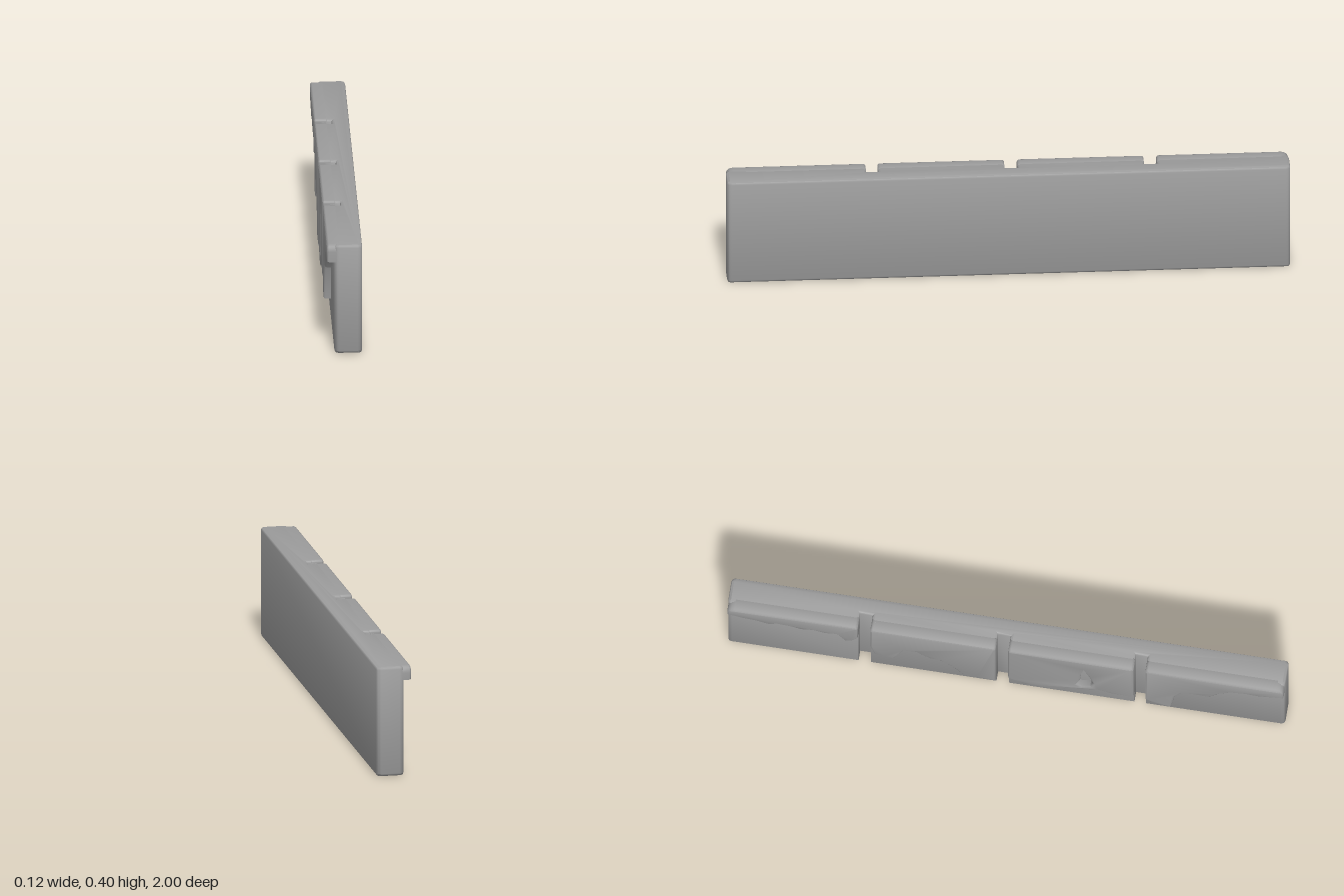
import * as THREE from 'three';
import { toCreasedNormals } from 'three/addons/utils/BufferGeometryUtils.js';

const material = new THREE.MeshStandardMaterial({ color: 0x9c9c9c });
const HEIGHT = 0.4, OUTER = 0.0625, FACE = -0.036, GROOVE_FLOOR = 0;
// z range of each groove
const grooves = [[-0.53, -0.485], [-0.035, 0.01], [0.46, 0.502]];

function extrude(shape, depth, bevel) {
  return new THREE.ExtrudeGeometry(shape, {
    depth: depth - 2 * bevel, bevelThickness: bevel, bevelSize: bevel,
    bevelOffset: -bevel, bevelSegments: 2, curveSegments: 4,
  }).translate(0, 0, bevel);
}

// Soft shading over the rounded edges
function addMesh(group, name, geometry) {
  const mesh = new THREE.Mesh(toCreasedNormals(geometry, 0.85), material);
  mesh.name = name;
  group.add(mesh);
}

// Plan outline of the wall with grooves, drawn in x and -z
function wallShape() {
  const r = 0.016, s = new THREE.Shape();
  s.moveTo(FACE + r, -1);
  s.lineTo(OUTER - r, -1);
  s.quadraticCurveTo(OUTER, -1, OUTER, -1 + r);
  s.lineTo(OUTER, 1 - r);
  s.quadraticCurveTo(OUTER, 1, OUTER - r, 1);
  s.lineTo(FACE + r, 1);
  s.quadraticCurveTo(FACE, 1, FACE, 1 - r);
  for (const [a, b] of grooves) {
    s.lineTo(FACE, -a);
    s.lineTo(GROOVE_FLOOR, -a);
    s.lineTo(GROOVE_FLOOR, -b);
    s.lineTo(FACE, -b);
  }
  s.lineTo(FACE, -1 + r);
  s.quadraticCurveTo(FACE, -1, FACE + r, -1);
  return s;
}

// Broken lower edge of each plaster layer as [z, y], from back to front
const brokenEdges = [
  [[-0.998, 0.35], [-0.94, 0.335], [-0.9, 0.33], [-0.845, 0.31], [-0.82, 0.328], [-0.77, 0.322], [-0.733, 0.308],
    [-0.69, 0.318], [-0.645, 0.305], [-0.604, 0.314], [-0.575, 0.26], [-0.55, 0.27], [-0.53, 0.3]],
  [[-0.485, 0.24], [-0.47, 0.168], [-0.43, 0.16], [-0.4, 0.152], [-0.38, 0.2], [-0.364, 0.246], [-0.323, 0.252],
    [-0.27, 0.206], [-0.235, 0.205], [-0.19, 0.155], [-0.165, 0.115], [-0.14, 0.085], [-0.1, 0.09], [-0.035, 0.08]],
  [[0.01, 0.125], [0.07, 0.09], [0.11, 0.095], [0.147, 0.08], [0.2, 0.08], [0.225, 0.12], [0.29, 0.128],
    [0.33, 0.142], [0.38, 0.126], [0.46, 0.12]],
  [[0.502, 0.12], [0.53, 0.095], [0.595, 0.08], [0.608, 0.19], [0.633, 0.238], [0.68, 0.243], [0.733, 0.238],
    [0.765, 0.285], [0.81, 0.318], [0.86, 0.326], [0.91, 0.322], [0.998, 0.338]],
];

// Teardrop chip through the third layer
const chip = [[0.282, 0.32], [0.3, 0.26], [0.315, 0.2], [0.305, 0.165], [0.275, 0.15], [0.255, 0.168], [0.268, 0.21], [0.272, 0.27]];

// Layer outline; corners at the ends of the wall are worn rounder
function plasterShape(edge) {
  const back = edge[0][0], front = edge[edge.length - 1][0];
  const radius = (z) => (Math.abs(z) > 0.9 ? 0.025 : 0.01);
  const s = new THREE.Shape();
  edge.forEach(([z, y], i) => (i ? s.lineTo(z, y) : s.moveTo(z, y)));
  s.lineTo(front, HEIGHT - radius(front));
  s.quadraticCurveTo(front, HEIGHT, front - radius(front), HEIGHT);
  s.lineTo(back + radius(back), HEIGHT);
  s.quadraticCurveTo(back, HEIGHT, back, HEIGHT - radius(back));
  s.closePath();
  return s;
}

export function createModel() {
  const group = new THREE.Group();
  group.name = 'wall';

  // Grooved slab
  addMesh(group, 'slab', extrude(wallShape(), HEIGHT, 0.01).rotateX(-Math.PI / 2));

  // Plaster layers standing proud of the slab, one between each pair of grooves
  const inner = -0.012;
  brokenEdges.forEach((edge, i) => {
    const shape = plasterShape(edge);
    if (i === 2) shape.holes.push(new THREE.Path(chip.map(([z, y]) => new THREE.Vector2(z, y))));
    const geometry = extrude(shape, OUTER + inner, 0.007).rotateY(-Math.PI / 2).translate(inner, 0, 0);
    addMesh(group, 'plasterLayer' + (i + 1), geometry);
  });
  return group;
}
